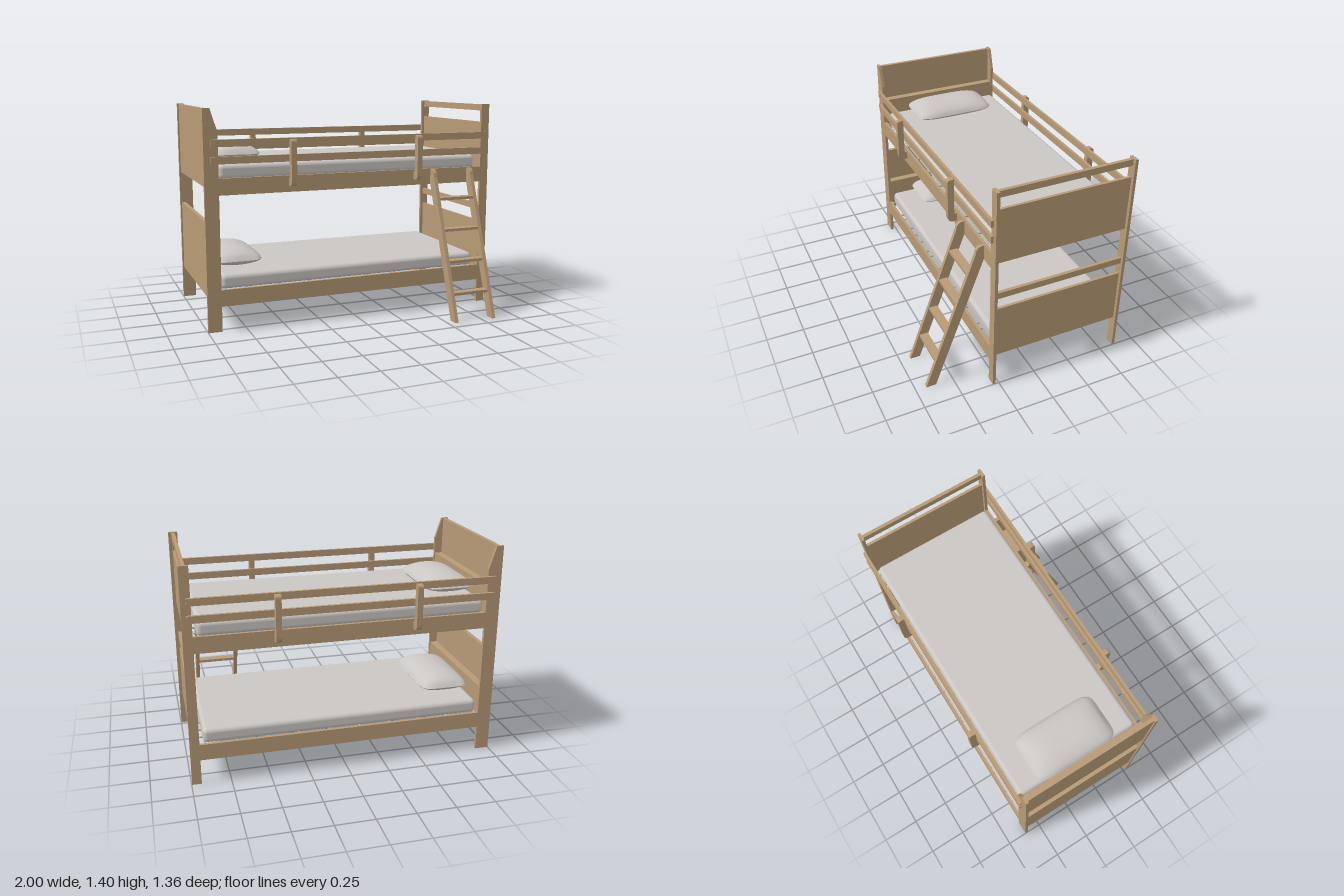
import * as THREE from 'three';
import { RoundedBoxGeometry } from 'three/addons/geometries/RoundedBoxGeometry.js';

export function createModel() {
  const root = new THREE.Group();
  const mat = (name, color, side = THREE.FrontSide) => {
    const m = new THREE.MeshStandardMaterial({ color, side });
    m.name = name;
    return m;
  };
  const wood = mat('wood', 0xb89a76);
  const fabric = mat('fabric', 0xcac6c3, THREE.DoubleSide);
  const metal = mat('metal', 0xb4b2b0);

  const add = (name, geometry, material = wood) => {
    const mesh = new THREE.Mesh(geometry, material);
    mesh.name = name;
    root.add(mesh);
    return mesh;
  };
  // Box given by its lower and upper limits on each axis
  const box = (name, x0, x1, y0, y1, z0, z1, material) =>
    add(name, new THREE.BoxGeometry(x1 - x0, y1 - y0, z1 - z0)
      .translate((x0 + x1) / 2, (y0 + y1) / 2, (z0 + z1) / 2), material);
  const poly = (pts) => new THREE.Shape(pts.map((p) => new THREE.Vector2(...p)));
  const extrude = (shape, depth) =>
    new THREE.ExtrudeGeometry(shape, { depth, bevelEnabled: false, curveSegments: 8 })
      .translate(0, 0, -depth / 2);

  const zBack = -0.595, zFront = 0.27, zMid = -0.1625;

  // Posts, side rails and guard rails on both long sides
  const headPost = poly([[-1, 0], [-0.91, 0], [-0.91, 1.26], [-0.955, 1.405], [-1, 1.405]]);

  // Bracket profile drawn in z (horizontal) and y
  const bracket = new THREE.Shape();
  bracket.moveTo(0.29, 0.91);
  bracket.lineTo(0.315, 0.91);
  bracket.quadraticCurveTo(0.35, 0.91, 0.35, 0.95);
  bracket.lineTo(0.35, 1.185);
  bracket.quadraticCurveTo(0.35, 1.207, 0.33, 1.207);
  bracket.lineTo(0.308, 1.207);
  bracket.lineTo(0.308, 0.975);
  bracket.quadraticCurveTo(0.308, 0.96, 0.29, 0.96);

  for (const s of [1, -1]) {
    const side = s > 0 ? 'front' : 'back';
    const z = zMid + s * 0.4425;
    add(side + 'HeadPost', extrude(headPost, 0.02).translate(0, 0, z));
    box(side + 'FootPost', 0.937, 0.997, 0, 1.405, z - 0.01, z + 0.01);
    for (const y of [0.165, 0.87])
      box(side + 'SideRail', -0.91, 0.937, y, y + 0.105, z - 0.01, z + 0.01);
    const zg = z + s * 0.019;
    for (const y of [1.065, 1.17])
      box(side + 'GuardRail', -0.957, 0.967, y, y + 0.045, zg - 0.009, zg + 0.009);
    for (const x of [-0.442, 0.437])
      add(side + 'GuardBracket', extrude(bracket, 0.036)
        .rotateY(-s * Math.PI / 2).translate(x, 0, s > 0 ? 0 : 2 * zMid));
  }

  // Pillow half: a flat sheet puffed up to a thin seam, with softly rounded corners
  const pillowHalf = (dir) => {
    const g = new THREE.PlaneGeometry(2, 2, 28, 28);
    const p = g.attributes.position;
    for (let i = 0; i < p.count; i++) {
      const u = p.getX(i), v = p.getY(i);
      const h = 0.06 * Math.pow(Math.max(0, (1 - u * u) * (1 - v ** 4)), 0.6);
      p.setXYZ(i,
        0.168 * u * (1 - 0.13 * v ** 8),
        dir * h * (dir > 0 ? 1.15 : 0.8),
        -0.282 * v * (1 - 0.08 * u ** 8));
    }
    if (dir < 0) {
      const idx = g.index.array;
      for (let i = 0; i < idx.length; i += 3) [idx[i], idx[i + 1]] = [idx[i + 1], idx[i]];
    }
    g.computeVertexNormals();
    return g;
  };

  // Two bunks, each with end boards, bed base, mattress and pillow
  for (const [bunk, y] of [['lower', 0], ['upper', 0.7]]) {
    // Headboard: tall back panel with a ledge in front
    box(bunk + 'HeadPanel', -0.99, -0.965, y + 0.22, y + 0.702, zBack, zFront);
    box(bunk + 'HeadLedge', -0.965, -0.915, y + 0.43, y + 0.45, zBack, zFront);
    box(bunk + 'HeadFrontPanel', -0.93, -0.915, y + 0.22, y + 0.43, zBack, zFront);

    // Footboard: panel with an open gap below the top rail
    box(bunk + 'FootPanel', 0.957, 0.975, y + 0.22, y + 0.582, zBack, zFront);
    box(bunk + 'FootRail', 0.955, 0.977, y + 0.66, y + 0.702, zBack, zFront);

    // Wire grid
    for (let i = 0; i < 9; i++)
      add(bunk + 'LongWire', new THREE.CylinderGeometry(0.007, 0.007, 1.84, 8)
        .rotateZ(Math.PI / 2).translate(0, y + 0.245, zMid + (i - 4) * 0.1), metal);
    for (let i = 0; i < 10; i++)
      add(bunk + 'CrossWire', new THREE.CylinderGeometry(0.007, 0.007, 0.865, 8)
        .rotateX(Math.PI / 2).translate((i - 4.5) * 0.2, y + 0.257, zMid), metal);

    // Mattress and pillow
    add(bunk + 'Mattress', new RoundedBoxGeometry(1.81, 0.092, 0.85, 4, 0.028)
      .translate(0.005, y + 0.31, -0.168), fabric);
    for (const dir of [1, -1])
      add(bunk + 'Pillow', pillowHalf(dir).translate(-0.745, y + 0.4, -0.172), fabric);
  }

  // Ladder: two leaning rails with clipped tops, and flat treads
  const ladderRail = poly([
    [0.615, 0], [0.68, 0], [0.345, 0.925], [0.34, 0.95], [0.325, 0.967],
    [0.31, 0.972], [0.292, 0.972], [0.292, 0.88],
  ]);
  for (const x of [0.558, 0.838])
    add('ladderRail', extrude(ladderRail, 0.024).rotateY(-Math.PI / 2).translate(x, 0, 0));
  for (let i = 0; i < 4; i++) {
    const y = 0.172 + i * 0.202, z = 0.582 - i * 0.0715;
    box('ladderTread', 0.57, 0.826, y - 0.009, y + 0.009, z - 0.028, z + 0.028);
  }
  return root;
}
